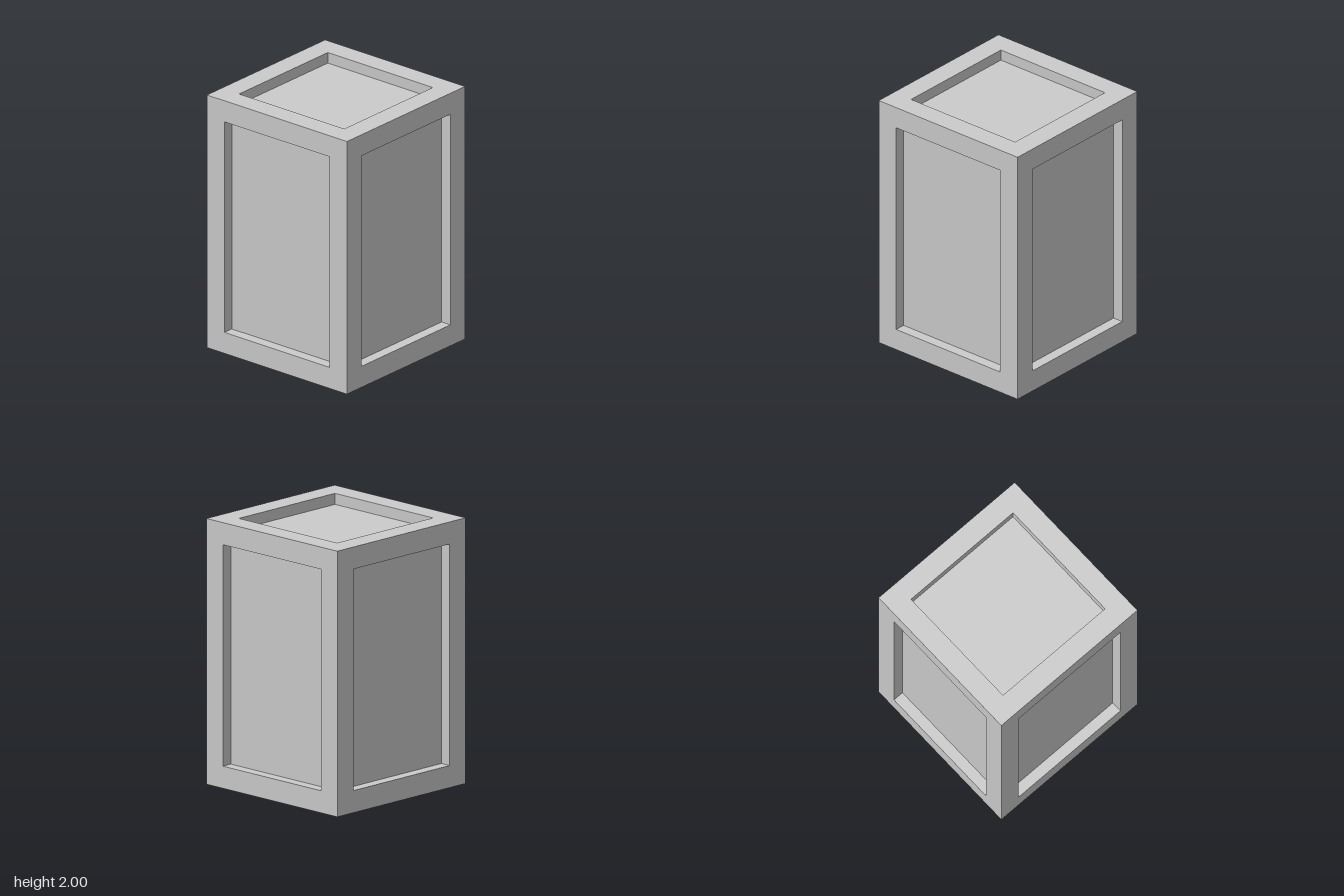
import * as THREE from 'three';

const WIDTH = 4 / 3, HEIGHT = 2, BORDER = 1 / 6, DEPTH = 1 / 12;

// One side of the crate, facing +z: flat border, recess walls and sunken panel
function recessedSide(w, h) {
  const ring = (inset, z) => {
    const x = w / 2 - inset, y = h / 2 - inset;
    return [[-x, -y, z], [x, -y, z], [x, y, z], [-x, y, z]];
  };
  const rings = [ring(0, 0), ring(BORDER, 0), ring(BORDER, -DEPTH)];
  const positions = [];
  const quad = (a, b, c, d) => positions.push(...a, ...b, ...c, ...a, ...c, ...d);
  for (let r = 0; r < 2; r++) {
    for (let i = 0; i < 4; i++) {
      const j = (i + 1) % 4;
      quad(rings[r][i], rings[r][j], rings[r + 1][j], rings[r + 1][i]);
    }
  }
  quad(...rings[2]);
  const geometry = new THREE.BufferGeometry();
  geometry.setAttribute('position', new THREE.Float32BufferAttribute(positions, 3));
  geometry.computeVertexNormals();
  return geometry;
}

export function createModel() {
  const crate = new THREE.Group();
  crate.name = 'crate';
  const material = new THREE.MeshStandardMaterial({ color: 0xcccccc, flatShading: true });

  // Four upright sides
  const uprightGeometry = recessedSide(WIDTH, HEIGHT);
  ['frontSide', 'leftSide', 'backSide', 'rightSide'].forEach((name, i) => {
    const side = new THREE.Mesh(uprightGeometry, material);
    const angle = i * Math.PI / 2;
    side.name = name;
    side.rotation.y = angle;
    side.position.set(Math.sin(angle) * WIDTH / 2, HEIGHT / 2, Math.cos(angle) * WIDTH / 2);
    crate.add(side);
  });

  // Square lid and base
  const capGeometry = recessedSide(WIDTH, WIDTH);
  for (const [name, y, angle] of [['lid', HEIGHT, -Math.PI / 2], ['base', 0, Math.PI / 2]]) {
    const cap = new THREE.Mesh(capGeometry, material);
    cap.name = name;
    cap.rotation.x = angle;
    cap.position.y = y;
    crate.add(cap);
  }
  return crate;
}
